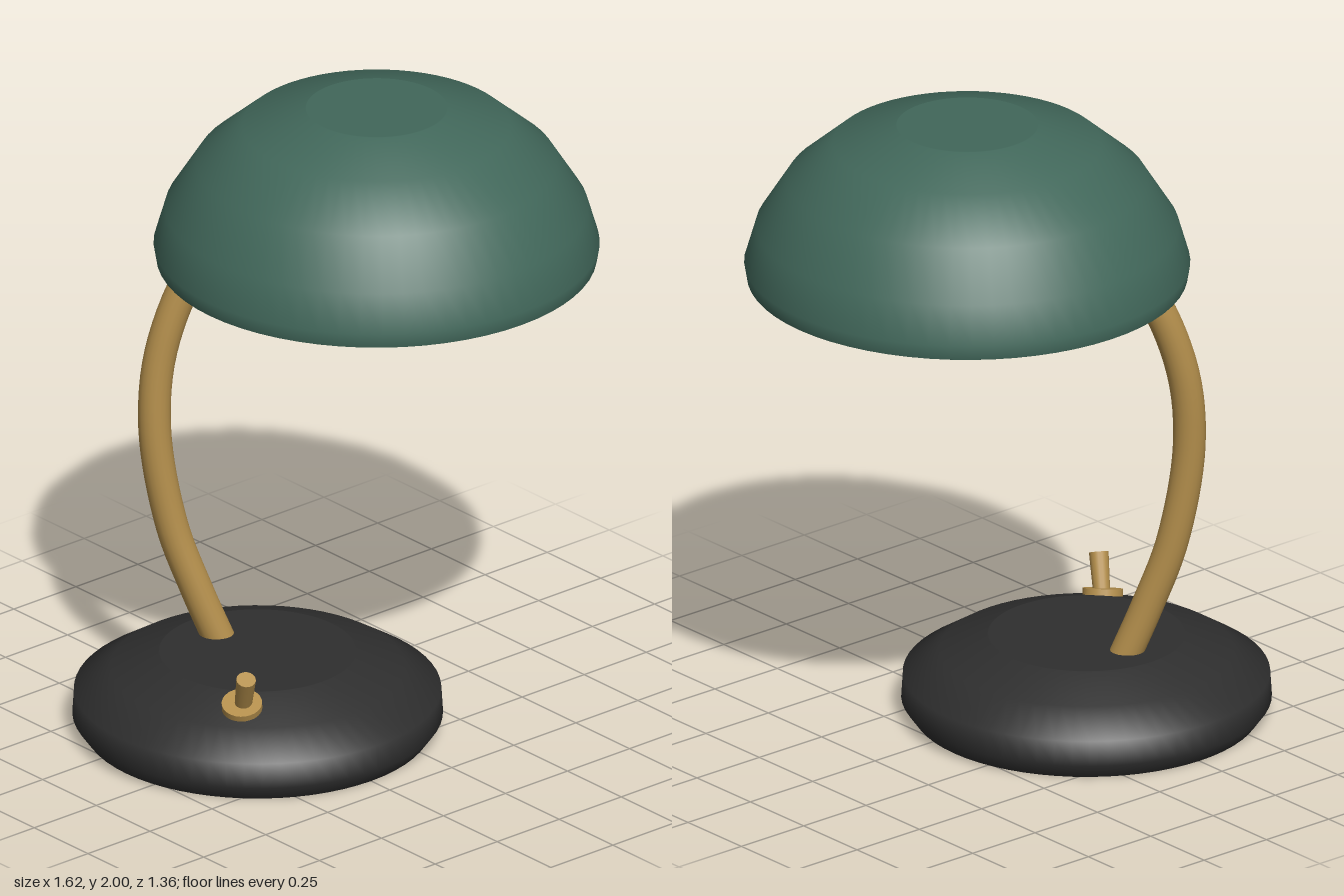
import * as THREE from 'three';

const material = (name, color) => {
  const m = new THREE.MeshStandardMaterial({ color });
  m.name = name;
  return m;
};

const lathe = (profile, segments = 64) =>
  new THREE.LatheGeometry(profile.map(([r, y]) => new THREE.Vector2(r, y)), segments);

export function createModel() {
  const lamp = new THREE.Group();
  lamp.name = 'deskLamp';

  const green = material('green enamel', 0x41675a);
  const brass = material('brass', 0xb48f4c);
  const black = material('black base', 0x2e2e2e);
  const cream = material('cream glass', 0xe6cc98);

  const add = (name, geometry, mat, x = 0, y = 0, z = 0, parent = lamp) => {
    const mesh = new THREE.Mesh(geometry, mat);
    mesh.name = name;
    mesh.position.set(x, y, z);
    parent.add(mesh);
    return mesh;
  };

  // Weighted base; close point pairs keep the flat faces crisp
  add('base', lathe([
    [0, 0], [0.528, 0], [0.53, 0.001], [0.565, 0.05], [0.56, 0.13],
    [0.45, 0.2], [0.302, 0.254], [0.3, 0.255], [0, 0.255],
  ]), black, -0.25, 0, -0.115);

  // Curved arm rising from the base to the socket
  const path = new THREE.CatmullRomCurve3([
    [-0.25, 0.22, -0.285], [-0.305, 0.4, -0.335], [-0.36, 0.62, -0.39],
    [-0.393, 0.95, -0.43], [-0.36, 1.22, -0.425], [-0.255, 1.5, -0.36],
    [-0.075, 1.75, -0.19], [0.13, 1.86, 0],
  ].map((p) => new THREE.Vector3(...p)));
  add('arm', new THREE.TubeGeometry(path, 48, 0.05, 20), brass);

  // Domed shade, a thin shell open underneath
  const shade = new THREE.Group();
  shade.name = 'shadeAssembly';
  shade.position.set(0.13, 0, 0);
  lamp.add(shade);
  add('shade', lathe([
    [0, 1.975], [0.205, 1.975], [0.395, 1.915], [0.53, 1.8], [0.622, 1.66],
    [0.655, 1.55], [0.648, 1.503], [0.65, 1.502], [0.67, 1.502], [0.672, 1.503],
    [0.68, 1.55], [0.645, 1.67], [0.55, 1.82], [0.41, 1.94],
    [0.217, 1.999], [0.215, 2], [0, 2],
  ]), green, 0, 0, 0, shade);

  // Brass trim inside the rim
  const trim = add('rimTrim', new THREE.TorusGeometry(0.65, 0.014, 10, 64), brass, 0, 1.514, 0, shade);
  trim.rotation.x = Math.PI / 2;

  // Socket and light disc
  add('socket', new THREE.CylinderGeometry(0.07, 0.07, 0.15, 32), brass, 0, 1.9, 0, shade);
  add('lightDisc', new THREE.CylinderGeometry(0.335, 0.335, 0.11, 48), cream, 0, 1.575, 0, shade);

  // Toggle switch set square to the sloping top of the base
  const toggle = new THREE.Group();
  toggle.name = 'toggleSwitch';
  toggle.position.set(-0.525, 0.235, 0.13);
  toggle.quaternion.setFromUnitVectors(
    new THREE.Vector3(0, 1, 0), new THREE.Vector3(-0.24, 0.94, 0.23).normalize());
  lamp.add(toggle);
  add('switchCollar', new THREE.CylinderGeometry(0.062, 0.062, 0.03, 24), brass, 0, 0, 0, toggle);
  const lever = add('switchLever', new THREE.CylinderGeometry(0.03, 0.026, 0.13, 16), brass, 0.004, 0.06, 0.01, toggle);
  lever.rotation.set(0.16, 0, 0);

  return lamp;
}
